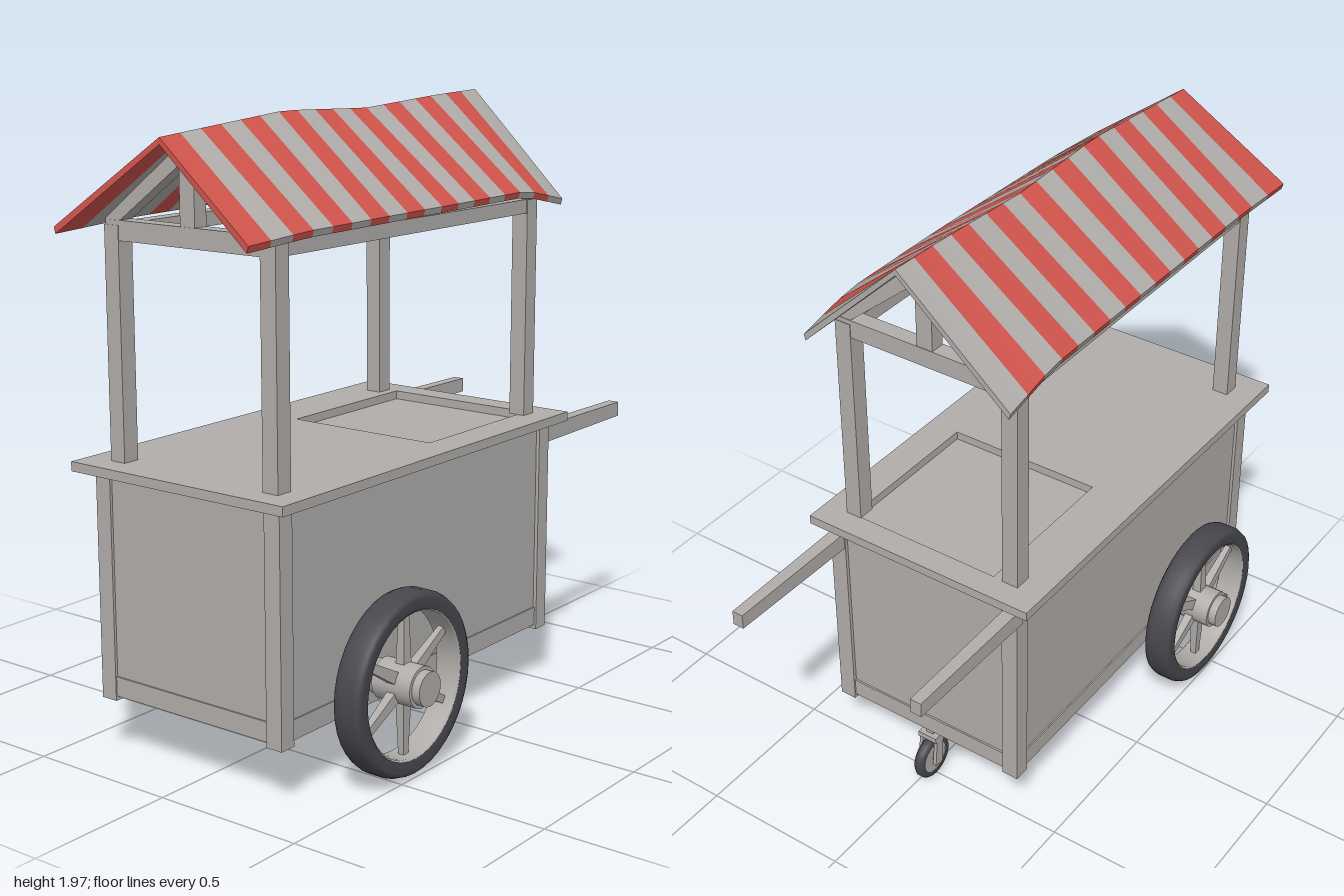
import * as THREE from 'three';
import { mergeGeometries } from 'three/addons/utils/BufferGeometryUtils.js';

const mat = (name, color) => Object.assign(new THREE.MeshStandardMaterial({ color }), { name });

export function createModel() {
  const wood = mat('pale grey wood', 0xb0adaa);
  const red = mat('awning red', 0xd0544c);
  const rubber = mat('dark rubber', 0x47474d);
  const cart = new THREE.Group();
  cart.name = 'marketCart';
  const ZC = -0.015; // centre line of the cart

  const add = (name, geo, material, parent = cart) => {
    const m = new THREE.Mesh(geo, material);
    m.name = name;
    parent.add(m);
    return m;
  };
  // box given by its extents
  const box = (name, x0, x1, y0, y1, z0, z1, parent = cart) => {
    const m = add(name, new THREE.BoxGeometry(x1 - x0, y1 - y0, z1 - z0), wood, parent);
    m.position.set((x0 + x1) / 2, (y0 + y1) / 2, (z0 + z1) / 2);
    return m;
  };

  // cabinet with corner legs and bottom rails
  box('cabinet', -0.857, 0.512, 0.205, 0.902, -0.36, 0.333);
  for (const x of [-0.866, 0.468]) {
    for (const z of [-0.37, 0.288]) box('cornerLeg', x, x + 0.056, 0.185, 0.9, z, z + 0.057);
  }
  for (const z of [-0.365, 0.318]) box('longRail', -0.82, 0.475, 0.2, 0.262, z, z + 0.02);
  for (const x of [-0.862, 0.498]) box('endRail', x, x + 0.02, 0.2, 0.262, -0.32, 0.295);

  // counter top with a shallow rectangular recess
  const top = new THREE.Shape([[-0.91, -0.395], [0.56, -0.395], [0.56, 0.428], [-0.91, 0.428]]
    .map(p => new THREE.Vector2(...p)));
  top.holes.push(new THREE.Path([[-0.07, -0.285], [-0.07, 0.25], [0.475, 0.25], [0.475, -0.285]]
    .map(p => new THREE.Vector2(...p))));
  const counter = add('counterTop', new THREE.ExtrudeGeometry(top, { depth: 0.03, bevelEnabled: false }), wood);
  counter.rotation.x = -Math.PI / 2;
  counter.position.y = 0.9;

  // push handles, slightly tapered to the tip
  for (const z of [0.313, -0.352]) {
    const g = new THREE.BoxGeometry(0.5, 0.058, 0.045);
    const p = g.attributes.position;
    for (let i = 0; i < p.count; i++) if (p.getX(i) > 0) {
      p.setY(i, p.getY(i) * 0.85);
      p.setZ(i, p.getZ(i) * 0.85);
    }
    add('pushHandle', g, wood).position.set(0.75, 0.852, z);
  }

  // awning frame
  const zPosts = [-0.34, 0.255];
  for (const x of [-0.83, 0.422]) {
    for (const z of zPosts) box('awningPost', x, x + 0.057, 0.93, 1.64, z, z + 0.056);
    box('endBeam', x + 0.002, x + 0.055, 1.595, 1.655, -0.335, 0.305);
    const rise = x < 0 ? 1.875 : 1.91;
    box('kingPost', x + 0.004, x + 0.053, 1.65, rise - 0.01, ZC - 0.028, ZC + 0.028);
    for (const s of [1, -1]) {
      const run = 0.315, drop = rise - 1.645;
      const r = add('rafter', new THREE.BoxGeometry(0.05, 0.045, Math.hypot(run, drop)), wood);
      r.position.set(x + 0.0285, (rise + 1.645) / 2, ZC + s * run / 2);
      r.rotation.x = s * Math.atan2(drop, run);
    }
  }
  for (const z of zPosts) box('longBeam', -0.825, 0.475, 1.597, 1.642, z + 0.003, z + 0.053);

  // striped awning: sagging ridge and eaves, one thin slab per stripe
  const along = (pts, u) => {
    let i = 0;
    while (i < pts.length - 2 && u > pts[i + 1][0]) i++;
    const [a, b] = [pts[i], pts[i + 1]];
    return THREE.MathUtils.lerp(a[1], b[1], (u - a[0]) / (b[0] - a[0]));
  };
  const ridgeY = [[0, 1.914], [0.35, 1.957], [0.61, 1.943], [0.86, 1.965], [1, 1.972]];
  const eaveY = [[0, 1.647], [0.15, 1.662], [0.5, 1.67], [0.86, 1.676], [1, 1.632]];
  const stripes = 18;
  const slabs = { 0: [], 1: [] };
  for (const s of [1, -1]) {
    const eaveX = s > 0 ? [[0, -0.968], [0.11, -0.785], [1, 0.583]] : [[0, -1], [0.11, -0.787], [1, 0.577]];
    const eaveZ = s > 0 ? [[0, 0.335], [0.6, 0.348], [1, 0.342]] : [[0, -0.37], [1, -0.385]];
    for (let i = 0; i < stripes; i++) {
      const g = new THREE.BoxGeometry(1, 1, 1);
      const p = g.attributes.position;
      for (let k = 0; k < p.count; k++) {
        const u = (i + p.getX(k) + 0.5) / stripes;
        const isEave = p.getZ(k) * s > 0;
        const t = p.getY(k) < 0 ? 0.02 : 0;
        if (isEave) p.setXYZ(k, along(eaveX, u), along(eaveY, u) - t, along(eaveZ, u) - s * t * 0.3);
        else p.setXYZ(k, -0.932 + 1.525 * u, along(ridgeY, u) - t, ZC);
      }
      g.computeVertexNormals();
      slabs[i % 2].push(g);
    }
  }
  add('awningRedStripes', mergeGeometries(slabs[0]), red);
  add('awningPaleStripes', mergeGeometries(slabs[1]), wood);

  // ring section turned around z; points are [radius, z]
  const turned = (pts, n) => {
    const g = new THREE.LatheGeometry(pts.map(p => new THREE.Vector2(...p)), n);
    return g.rotateX(Math.PI / 2);
  };
  const drum = (r, len, n = 24) => new THREE.CylinderGeometry(r, r, len, n).rotateX(Math.PI / 2);

  // large spoked wheels
  for (const s of [1, -1]) {
    const wheel = new THREE.Group();
    wheel.name = s > 0 ? 'frontSideWheel' : 'backSideWheel';
    wheel.position.set(-0.442, 0.297, s * 0.462);
    cart.add(wheel);
    add('tyre', turned([[0.232, -0.045], [0.265, -0.05], [0.278, -0.043], [0.285, -0.025], [0.285, 0.025],
      [0.278, 0.043], [0.265, 0.05], [0.232, 0.045]], 40), rubber, wheel);
    const rim = [[0.234, 0.045], [0.226, 0.04], [0.226, -0.04], [0.234, -0.045]];
    add('rim', turned(rim, 40), wood, wheel);
    for (let i = 0; i < 6; i++) {
      const g = new THREE.CylinderGeometry(0.017, 0.028, 0.19, 4, 1).rotateY(Math.PI / 4);
      g.scale(1, 1, 0.8).translate(0, 0.135, 0);
      const spoke = add('spoke', g.toNonIndexed(), wood, wheel);
      spoke.geometry.computeVertexNormals();
      spoke.rotation.z = i * Math.PI / 3;
    }
    add('hub', drum(0.065, 0.14), wood, wheel);
    add('hubCap', drum(0.054, 0.195), wood, wheel);
    add('axle', drum(0.02, 0.18, 12), wood, wheel).position.z = -s * 0.1;
  }

  // single swivel caster under the handle end
  const caster = new THREE.Group();
  caster.name = 'caster';
  caster.position.set(0.508, 0.079, ZC);
  cart.add(caster);
  add('casterTyre', turned([[0.055, -0.016], [0.07, -0.018], [0.078, -0.008], [0.078, 0.008],
    [0.07, 0.018], [0.055, 0.016]], 24), rubber, caster);
  add('casterDisc', drum(0.057, 0.028), wood, caster);
  add('casterPin', drum(0.012, 0.07, 10), wood, caster);
  for (const z of [-0.029, 0.029]) {
    const arm = box('forkArm', -0.017, 0.017, -0.015, 0.1, z - 0.006, z + 0.006, caster);
    arm.rotation.z = 0.1;
  }
  box('forkTop', -0.035, 0.02, 0.085, 0.105, -0.035, 0.035, caster);
  box('stem', -0.04, 0.005, 0.1, 0.13, -0.013, 0.013, caster);

  return cart;
}
